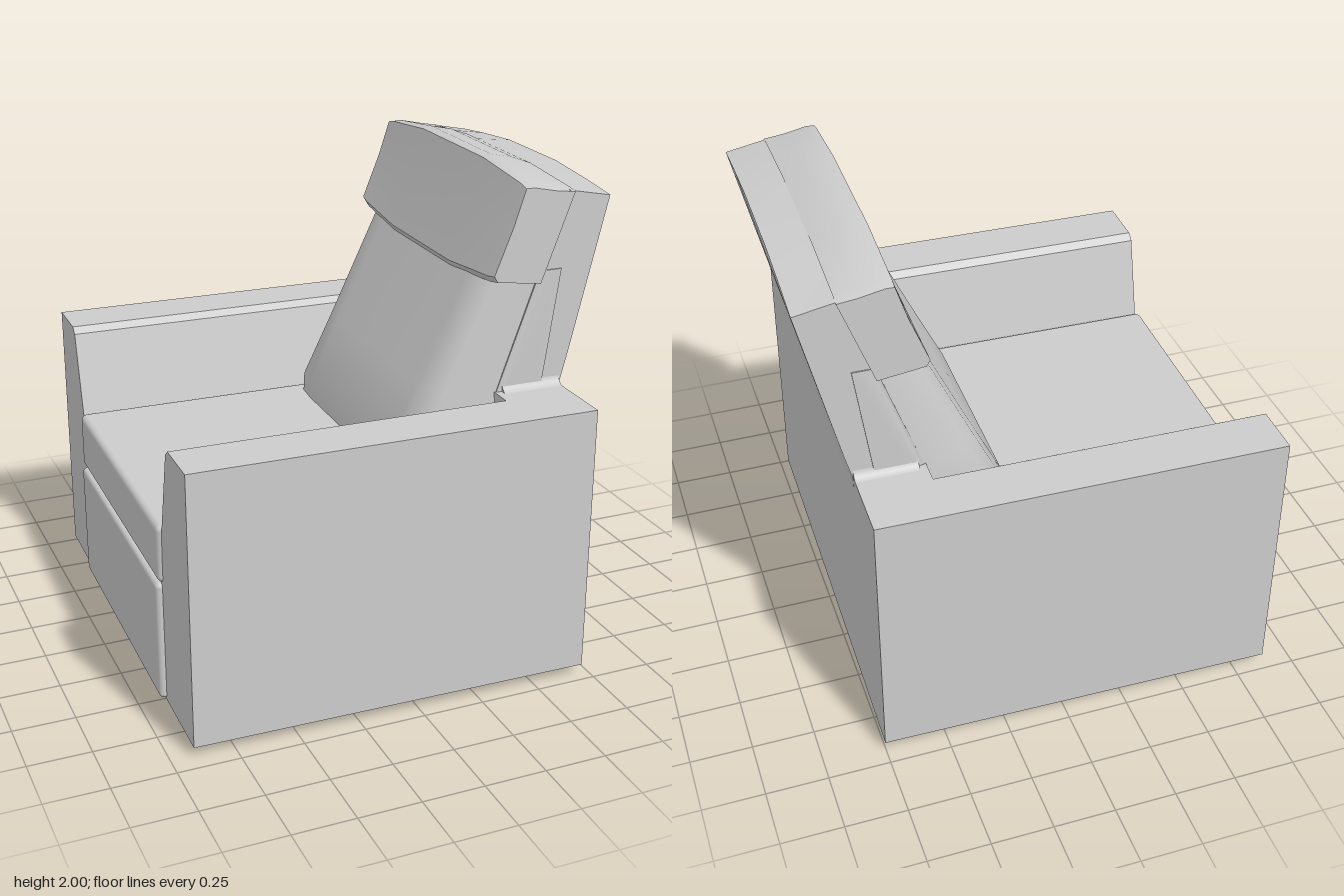
import * as THREE from 'three';
import { toCreasedNormals } from 'three/addons/utils/BufferGeometryUtils.js';
import { RoundedBoxGeometry } from 'three/addons/geometries/RoundedBoxGeometry.js';

const material = new THREE.MeshStandardMaterial({ color: 0xcccccc });

function addPart(group, name, geometry) {
  const mesh = new THREE.Mesh(geometry, material);
  mesh.name = name;
  group.add(mesh);
  return mesh;
}

// Rounded box given by its min and max corners
function cushionBox([x0, y0, z0], [x1, y1, z1], radius) {
  return new RoundedBoxGeometry(x1 - x0, y1 - y0, z1 - z0, 3, radius)
    .translate((x0 + x1) / 2, (y0 + y1) / 2, (z0 + z1) / 2);
}

// Joins side profiles (counter-clockwise x, y points) placed at rising z, with end caps
function loftAcross(halfStations, profileAt, crease = 0.6) {
  const stations = [
    ...halfStations.map(([z, ...r]) => [-z, ...r]),
    ...halfStations.filter(([z]) => z > 0).reverse(),
  ];
  const positions = [], index = [];
  let n = 0;
  for (const [z, ...params] of stations) {
    const profile = profileAt(...params);
    n = profile.length;
    for (const [x, y] of profile) positions.push(x, y, z);
  }
  const last = (stations.length - 1) * n;
  for (let i = 0; i < last; i += n) {
    for (let j = 0; j < n; j++) {
      const k = (j + 1) % n;
      index.push(i + j, i + k, i + n + k, i + j, i + n + k, i + n + j);
    }
  }
  for (let j = 1; j < n - 1; j++) {
    index.push(0, j + 1, j, last, last + j, last + j + 1);
  }
  const geometry = new THREE.BufferGeometry();
  geometry.setAttribute('position', new THREE.Float32BufferAttribute(positions, 3));
  geometry.setIndex(index);
  return toCreasedNormals(geometry, crease);
}

export function createModel() {
  const group = new THREE.Group();
  group.name = 'armchair';

  // The chair faces -x and stands turned by about one degree
  const chair = new THREE.Group();
  chair.name = 'chair';
  chair.rotation.y = -0.0175;
  group.add(chair);

  // Arms and lower body: one U-shaped section run from front to back
  const half = [[0.945, 0.04], [0.945, 1.145], [0.73, 1.145], [0.7, 1.12], [0.61, 0.78], [0.59, 0.56]];
  const outline = [...half, ...half.map(([z, y]) => [-z, y]).reverse()];
  const section = new THREE.Shape(outline.map(([z, y]) => new THREE.Vector2(z, y)));
  const arms = new THREE.ExtrudeGeometry(section, { depth: 1.36, bevelEnabled: false })
    .rotateY(Math.PI / 2).translate(-0.895, 0, 0);
  addPart(chair, 'armsAndBody', arms);

  // Rear block closing the arms
  addPart(chair, 'rearBody', new THREE.BoxGeometry(0.28, 1.105, 1.89).translate(0.595, 0.5925, 0));

  // Plinth with rounded corners
  const [a, b, r] = [0.715, 0.845, 0.07];
  const foot = new THREE.Shape();
  foot.moveTo(-a + r, -b);
  foot.lineTo(a - r, -b).quadraticCurveTo(a, -b, a, -b + r);
  foot.lineTo(a, b - r).quadraticCurveTo(a, b, a - r, b);
  foot.lineTo(-a + r, b).quadraticCurveTo(-a, b, -a, b - r);
  foot.lineTo(-a, -b + r).quadraticCurveTo(-a, -b, -a + r, -b);
  const plinth = new THREE.ExtrudeGeometry(foot, {
    depth: 0.04, bevelThickness: 0.015, bevelSize: 0.015, bevelOffset: -0.015, bevelSegments: 2,
  }).rotateX(-Math.PI / 2).translate(-0.075, 0.015, 0);
  addPart(chair, 'plinth', plinth);

  // Footrest panel and seat cushion
  addPart(chair, 'footrestPanel', cushionBox([-0.92, 0.045, -0.59], [-0.8, 0.545, 0.59], 0.02));
  addPart(chair, 'seatCushion', cushionBox([-0.912, 0.55, -0.602], [0.5, 0.79, 0.602], 0.025));

  // Backrest shell, with a gently arched top: [z, arch]
  addPart(chair, 'backrestShell', loftAcross(
    [[0.635, 0], [0.45, 0.5], [0.2, 1], [0, 1]],
    (arch) => [
      [0.45, 1.0], [0.734, 1.0], [0.736, 1.14], [0.765, 1.25],
      [0.918, 1.89 + 0.04 * arch], [0.74, 1.925 + 0.025 * arch], [0.46, 1.14],
    ]));

  // Small fillets where the shell meets the arm tops
  for (const side of [-1, 1]) {
    const fillet = new THREE.Shape();
    fillet.moveTo(0, 0);
    fillet.lineTo(side * 0.045, 0);
    fillet.quadraticCurveTo(side * 0.005, 0.005, 0, 0.06);
    const geometry = new THREE.ExtrudeGeometry(fillet, { depth: 0.25, bevelEnabled: false })
      .rotateY(Math.PI / 2).translate(0.485, 1.143, -side * 0.63);
    addPart(chair, 'shoulderFillet', geometry);
  }

  // Back cushion, its front narrowing towards the sitter: [z, inset]
  addPart(chair, 'backCushion', loftAcross(
    [[0.64, 0.26], [0.565, 0.05], [0.52, 0.008], [0.42, 0], [0, 0]],
    (inset) => [
      [0.085 + inset, 0.76], [0.6, 0.76], [0.72, 1.62],
      [0.45 + inset * 0.8, 1.62], [0.222 + inset, 1.14], [0.09 + inset, 0.87],
    ], 0.8));

  // Headrest pillow, fuller in the middle: [z, fullness]
  addPart(chair, 'headrest', loftAcross(
    [[0.645, 0], [0.6, 0.25], [0.45, 0.6], [0.28, 1], [0, 1]],
    (full) => [
      [0.445 - 0.02 * full, 1.595 - 0.035 * full], [0.63, 1.57], [0.76, 1.92 + 0.03 * full],
      [0.68, 1.93 + 0.05 * full], [0.585, 1.95 + 0.05 * full], [0.55, 1.95 + 0.04 * full],
      [0.505 - 0.01 * full, 1.81], [0.43 - 0.015 * full, 1.62 - 0.035 * full],
    ]));

  return group;
}
